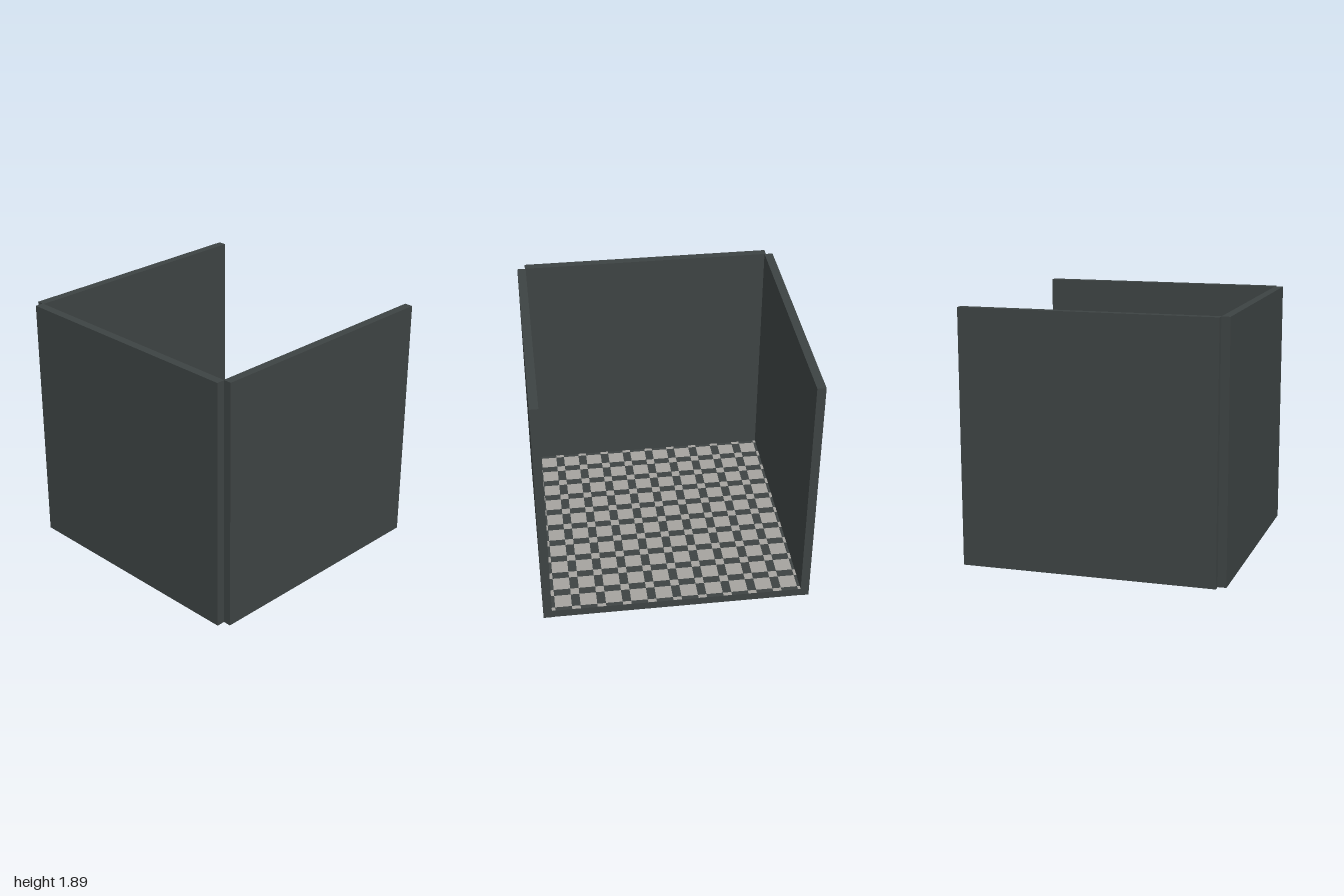
import * as THREE from 'three';
import { mergeGeometries } from 'three/addons/utils/BufferGeometryUtils.js';

export function createModel() {
  const model = new THREE.Group();
  model.name = 'openRoom';
  const slate = new THREE.MeshStandardMaterial({ name: 'dark slate', color: 0x3d4343 });
  const stone = new THREE.MeshStandardMaterial({ name: 'light stone', color: 0xa5a39f });

  // Box given by its lower and upper bounds
  function slab(name, [x0, y0, z0], [x1, y1, z1]) {
    const mesh = new THREE.Mesh(new THREE.BoxGeometry(x1 - x0, y1 - y0, z1 - z0), slate);
    mesh.position.set((x0 + x1) / 2, (y0 + y1) / 2, (z0 + z1) / 2);
    mesh.name = name;
    model.add(mesh);
  }

  const inner = -0.912, right = 0.975, depth = 0.936, height = 1.89, thick = 0.065;

  // Three walls around one open side
  slab('frontWall', [inner, 0, depth], [right, height, 1]);
  slab('backWall', [inner, 0, -1], [right, height, -depth]);
  slab('sideWall', [-0.975, 0, -0.947], [inner, height, 0.941]);
  slab('floor', [inner, 0.002, -depth], [right, thick - 0.002, depth]);

  // Tile pattern: large squares with small squares touching their corners
  const step = 0.1889, firstX = -0.82, firstZ = -0.853;
  function tiles(name, y, up) {
    const quads = [];
    const addTile = (x, z, half) => {
      const x0 = Math.max(inner, x - half), x1 = Math.min(right, x + half);
      const z0 = Math.max(-depth, z - half), z1 = Math.min(depth, z + half);
      if (x1 <= x0 || z1 <= z0) return;
      const quad = new THREE.PlaneGeometry(x1 - x0, z1 - z0);
      quad.rotateX(up ? -Math.PI / 2 : Math.PI / 2);
      quad.translate((x0 + x1) / 2, y, (z0 + z1) / 2);
      quads.push(quad);
    };
    for (let i = 0; i <= 10; i++) {
      for (let j = 0; j <= 10; j++) {
        const x = firstX + i * step, z = firstZ + j * step;
        if (i < 10 && j < 10) addTile(x, z, 0.062);
        addTile(x - step / 2, z - step / 2, 0.032);
      }
    }
    const mesh = new THREE.Mesh(mergeGeometries(quads), stone);
    mesh.name = name;
    model.add(mesh);
  }
  tiles('floorTilesTop', thick, true);
  tiles('floorTilesUnderside', 0, false);

  return model;
}
